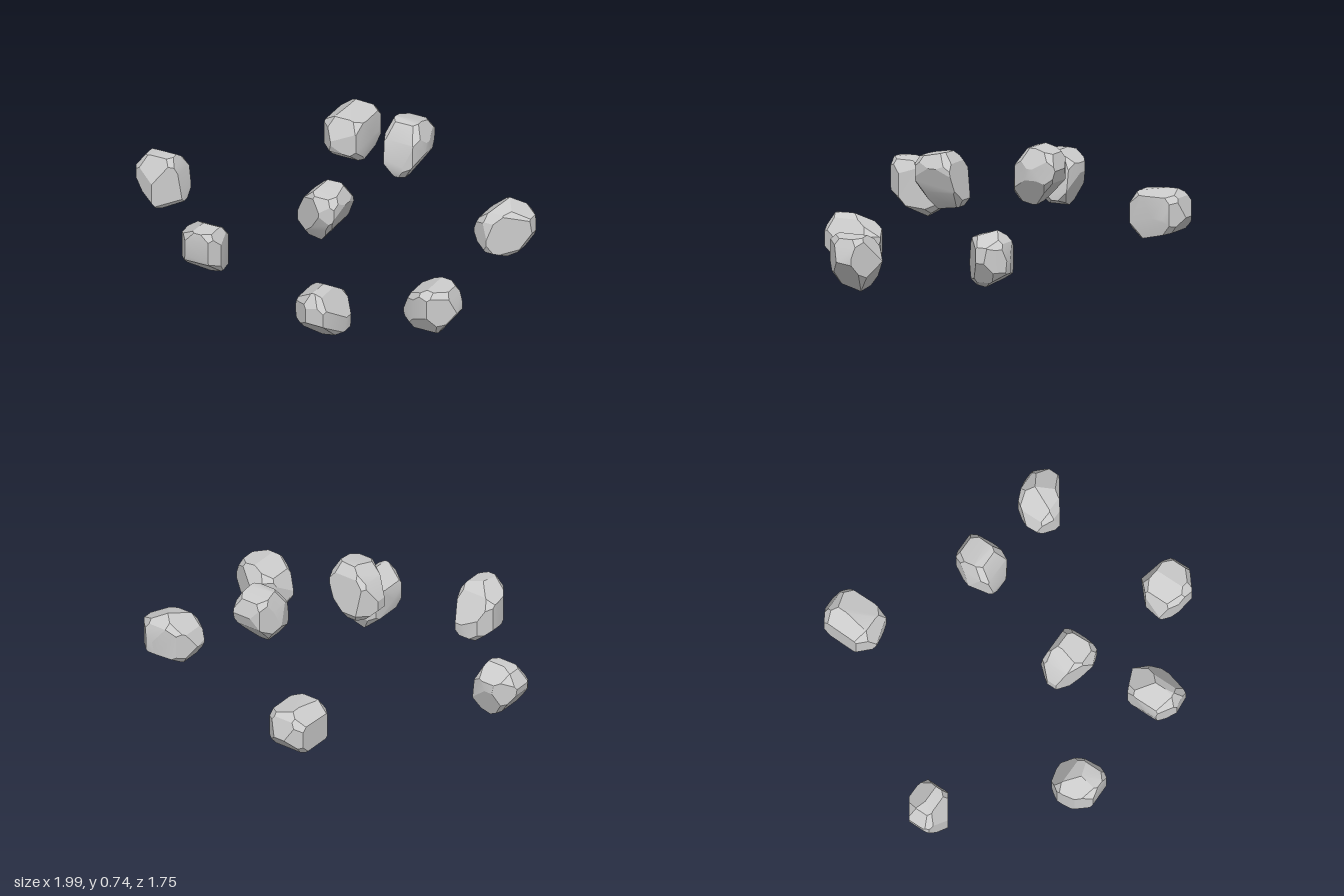
import * as THREE from 'three';
import { ConvexGeometry } from 'three/addons/geometries/ConvexGeometry.js';
import { toCreasedNormals } from 'three/addons/utils/BufferGeometryUtils.js';

const material = new THREE.MeshStandardMaterial({ color: 0xcccccc });

// Cutting planes that run along one axis, one per edge of a 2D outline (in hundredths).
function outlinePlanes(outline, lift) {
  const pts = [];
  for (let i = 0; i < outline.length; i += 2) pts.push(lift(outline[i] / 100, outline[i + 1] / 100));
  const centre = pts.reduce((s, p) => s.add(p), new THREE.Vector3()).divideScalar(pts.length);
  const axis = lift(1, 0).cross(lift(0, 1));
  return pts.map((p, i) => {
    const n = pts[(i + 1) % pts.length].clone().sub(p).cross(axis).normalize();
    if (n.dot(p) < n.dot(centre)) n.negate();
    return { n, d: Math.max(...pts.map((q) => n.dot(q))) };
  });
}

// Corner points of the solid enclosed by a set of planes.
function corners(planes) {
  const found = new Map();
  const cross = (a, b) => new THREE.Vector3().crossVectors(a, b);
  for (let i = 0; i < planes.length; i++)
    for (let j = i + 1; j < planes.length; j++)
      for (let k = j + 1; k < planes.length; k++) {
        const [a, b, c] = [planes[i], planes[j], planes[k]];
        const det = a.n.dot(cross(b.n, c.n));
        if (Math.abs(det) < 1e-4) continue;
        const p = cross(b.n, c.n).multiplyScalar(a.d)
          .addScaledVector(cross(c.n, a.n), b.d)
          .addScaledVector(cross(a.n, b.n), c.d)
          .divideScalar(det);
        if (planes.every((q) => q.n.dot(p) < q.d + 1e-5))
          found.set(p.toArray().map((v) => Math.round(v * 400)).join(), p);
      }
  return [...found.values()];
}

// A faceted rock: cut to its front (x,y), side (z,y) and top (x,z) outlines, then chipped at the corners.
function rock(name, front, side, top) {
  const planes = [
    ...outlinePlanes(front, (x, y) => new THREE.Vector3(x, y, 0)),
    ...outlinePlanes(side, (z, y) => new THREE.Vector3(0, y, z)),
    ...outlinePlanes(top, (x, z) => new THREE.Vector3(x, 0, z)),
  ];
  const rough = corners(planes);
  const centre = new THREE.Box3().setFromPoints(rough).getCenter(new THREE.Vector3());
  for (const x of [-1, 1]) for (const y of [-1, 1]) for (const z of [-1, 1]) {
    const n = new THREE.Vector3(x, y, z).normalize();
    const base = n.dot(centre);
    const reach = Math.max(...rough.map((p) => n.dot(p))) - base;
    planes.push({ n, d: base + reach * 0.9 });
  }
  const points = corners(planes).map((p) => p.sub(centre));
  const mesh = new THREE.Mesh(toCreasedNormals(new ConvexGeometry(points), 0.4), material);
  mesh.name = name;
  mesh.position.copy(centre);
  return mesh;
}

export function createModel() {
  const group = new THREE.Group();
  group.name = 'scatteredRocks';
  group.add(
    rock('farRightRock',
      [-99, 39, -94, 46, -87, 48, -79, 47.5, -75.5, 39, -73.5, 22.5, -83, 19, -90, 23, -98.5, 35],
      [29, 21, 25, 19, 12, 19, 6, 36, 6.5, 41, 16, 47.5, 22, 47, 29, 33],
      [-99.5, 13.5, -87, 5, -74, 9, -73.5, 19.5, -86.5, 28.5, -97.5, 24.5, -100, 20]),
    rock('backRock',
      [-37, 26, -36, 40, -27, 46, -14, 43, -13, 32, -15, 21, -24, 20, -30, 21],
      [-54.5, 32, -61, 44.5, -79, 46.5, -84, 42.5, -87.5, 32.5, -81, 24.5, -64, 20.5, -56.5, 26.5],
      [-35.5, -82.5, -27, -87.5, -21.5, -88, -13.5, -81.5, -12.5, -74, -15.5, -58, -28.5, -55, -36, -62.5]),
    rock('highestRock',
      [22, 73.5, 36, 73, 40.5, 63, 40, 57, 31, 43, 25, 44, 17, 55, 19, 65],
      [-17, 50, -20.5, 64.5, -26, 72.5, -30, 73.5, -40.5, 70.5, -43.5, 62.5, -41.5, 56, -29, 42.5, -19, 45],
      [17, -30, 22.5, -41.5, 28, -44, 37.5, -43.5, 41, -30, 37, -20, 32.5, -17.5, 21.5, -18]),
    rock('backLeftRock',
      [69.5, 23, 73, 31, 84.5, 40, 98.5, 33, 99.5, 25, 93, 14, 85, 10, 75, 14],
      [-17, 20.5, -19.5, 31.5, -23, 36, -35.5, 40, -42, 34.5, -44.5, 26, -44, 19, -29, 10, -19.5, 14.5],
      [69.5, -30.5, 76, -40, 90.5, -45.5, 94, -41, 99.5, -35.5, 99.5, -31, 80.5, -17.5, 70, -24]),
    rock('middleRock',
      [0.5, 45.5, 5.5, 55.5, 13.5, 62.5, 23.5, 63, 27.5, 55, 22.5, 42, 14.5, 32, 5.5, 35, 0.5, 40],
      [46, 52, 42, 60, 27.5, 63, 23.5, 57.5, 20.5, 38, 23, 34, 35.5, 32, 42, 42],
      [0.5, 29.5, 8.5, 20, 15.5, 19.5, 26, 22.5, 28, 32.5, 25.5, 43, 18, 45.5, 10.5, 41, 0.5, 35]),
    rock('frontLeftRock',
      [69, 13.5, 74.5, 25.5, 85, 30.5, 94.5, 29.5, 99, 18, 86.5, 1.5, 75, 3.5],
      [59, 16.5, 59.5, 26, 54.5, 30.5, 39, 31, 32, 17, 41.5, 1.5, 52, 5.5],
      [69.5, 51, 72.5, 40.5, 81, 32, 98, 41, 99, 49, 87, 59, 78, 57]),
    rock('frontRightRock',
      [-44.5, 41, -33, 48, -25, 46.5, -21, 40, -21, 24, -33, 16.5, -44.5, 26.5],
      [85, 36.5, 83.5, 47, 73.5, 48, 66.5, 44, 57, 29.5, 57.5, 22.5, 66, 17, 83, 30],
      [-45, 67, -39.5, 59.5, -28, 56, -23.5, 64.5, -21, 77, -25, 83.5, -38, 84, -43.5, 76.5]),
    rock('lowestRock',
      [23, 17.5, 24.5, 23.5, 35, 30, 39, 27.5, 48, 13.5, 47.5, 6, 34, 0, 25, 8],
      [87, 22, 83, 29.5, 73, 30.5, 55.5, 19, 58.5, 10, 63, 0, 71, 0, 87.5, 14.5],
      [23.5, 74, 25.5, 61.5, 38, 56, 48, 67, 48, 71.5, 42, 86, 32.5, 87, 23.5, 80.5]),
  );
  return group;
}
